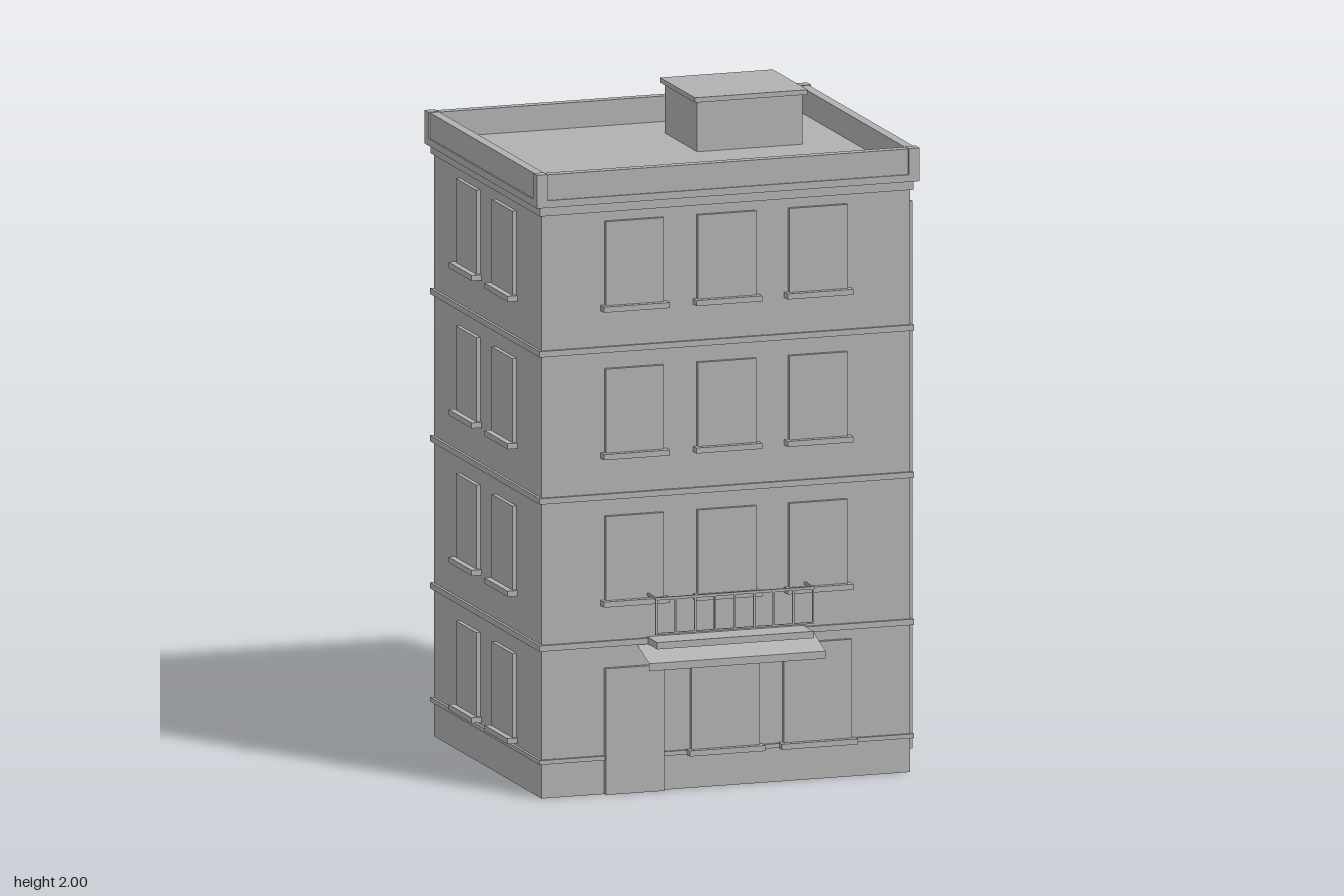
import * as THREE from 'three';

const X = 0.585, ZF = 0.445, ZB = -0.525; // wall faces
const ZC = (ZF + ZB) / 2;

export function createModel() {
  const model = new THREE.Group();
  model.name = 'apartmentBuilding';
  const grey = new THREE.MeshStandardMaterial({ color: 0xb0b0b0 });
  grey.name = 'plain grey';
  const greySheet = new THREE.MeshStandardMaterial({ color: 0xb0b0b0, side: THREE.DoubleSide });
  greySheet.name = 'plain grey sheet';

  // box given by its limits on each axis
  function box(name, x0, x1, y0, y1, z0, z1, parent = model) {
    const mesh = new THREE.Mesh(new THREE.BoxGeometry(x1 - x0, y1 - y0, z1 - z0), grey);
    mesh.position.set((x0 + x1) / 2, (y0 + y1) / 2, (z0 + z1) / 2);
    mesh.name = name;
    parent.add(mesh);
    return mesh;
  }
  // slab running round the whole building, standing out from the walls by d
  const band = (name, y0, y1, d) => box(name, -X - d, X + d, y0, y1, ZB - d, ZF + d);

  // walls, string courses and cornice
  band('walls', 0, 1.825, 0);
  band('plinthCourse', 0.105, 0.118, 0.009);
  for (const y of [0.46, 0.91, 1.36]) band('stringCourse', y - 0.009, y + 0.009, 0.009);
  band('lowerCornice', 1.782, 1.81, 0.008);
  band('upperCornice', 1.81, 1.832, 0.022);

  // parapet walls and corner posts
  const px = 0.602, pf = 0.462, pb = -0.542, t = 0.03;
  for (const s of [-1, 1]) {
    const [a, b] = s > 0 ? [px - t, px] : [-px, -px + t];
    box('sideParapet', a, b, 1.825, 1.91, pb, pf);
  }
  box('frontParapet', -px + t, px - t, 1.825, 1.91, pf - t, pf);
  box('backParapet', -px + t, px - t, 1.825, 1.91, pb, pb + t);
  for (const x of [-0.59, 0.59]) {
    for (const z of [-0.53, 0.45]) {
      box('parapetPost', x - 0.017, x + 0.017, 1.825, 1.912, z - 0.017, z + 0.017);
    }
  }

  // rooftop stair house
  box('roofHouse', 0.087, 0.422, 1.82, 1.985, -0.352, -0.06);
  box('roofHouseCap', 0.076, 0.434, 1.985, 2.0, -0.363, -0.049);

  // window panel with sill; local z points out of the wall
  function addWindow(x, y, z, turn, w = 0.185, h = 0.257) {
    const g = new THREE.Group();
    g.name = 'window';
    box('windowPanel', -w / 2, w / 2, 0, h, -0.01, 0.013, g);
    box('windowSill', -w / 2 - 0.012, w / 2 + 0.012, -0.017, 0, -0.01, 0.032, g);
    g.position.set(x, y, z);
    g.rotation.y = turn;
    model.add(g);
  }
  for (let floor = 0; floor < 4; floor++) {
    const y = 0.143 + floor * 0.451;
    for (const x of [-0.293, 0, 0.29]) {
      if (floor > 0) addWindow(x, y, ZF, 0);
      addWindow(x, y, ZB, Math.PI);
    }
    for (const z of [0.126, -0.198]) {
      addWindow(X, y, z, Math.PI / 2);
      addWindow(-X, y, z, -Math.PI / 2);
    }
  }

  // shop front and entrance door
  for (const x of [-0.005, 0.288]) addWindow(x, 0.12, ZF, 0, 0.217, 0.302);
  box('entranceDoor', -0.386, -0.2, 0, 0.386, ZF - 0.01, ZF + 0.015);

  // awning: sloped sheet with a hanging valance
  const sheet = (name, y0, z0, y1, z1) => {
    const geo = new THREE.PlaneGeometry(0.56, Math.hypot(y1 - y0, z1 - z0));
    const mesh = new THREE.Mesh(geo, greySheet);
    mesh.rotation.x = -Math.atan2(z1 - z0, y0 - y1);
    mesh.position.set(-0.002, (y0 + y1) / 2, (z0 + z1) / 2);
    mesh.name = name;
    model.add(mesh);
  };
  sheet('awning', 0.45, ZF, 0.413, 0.555);
  sheet('awningValance', 0.413, 0.555, 0.39, 0.555);

  // balcony slab and railing
  box('balconySlab', -0.25, 0.247, 0.451, 0.472, ZF, 0.537);
  box('frontRail', -0.254, 0.25, 0.6, 0.608, 0.526, 0.533);
  for (const x of [-0.251, 0.247]) box('sideRail', x - 0.003, x + 0.003, 0.6, 0.608, ZF, 0.53);
  for (let i = 0; i < 9; i++) {
    const x = -0.251 + i * 0.06225;
    box('baluster', x - 0.003, x + 0.003, 0.494, 0.602, 0.527, 0.532);
  }
  box('lowerRail', -0.254, 0.25, 0.494, 0.499, 0.527, 0.532);

  // downpipe near the front corner
  const pipe = new THREE.Mesh(new THREE.CylinderGeometry(0.006, 0.006, 1.675, 8), grey);
  pipe.position.set(0.591, 0.907, 0.431);
  pipe.name = 'downpipe';
  model.add(pipe);

  return model;
}
